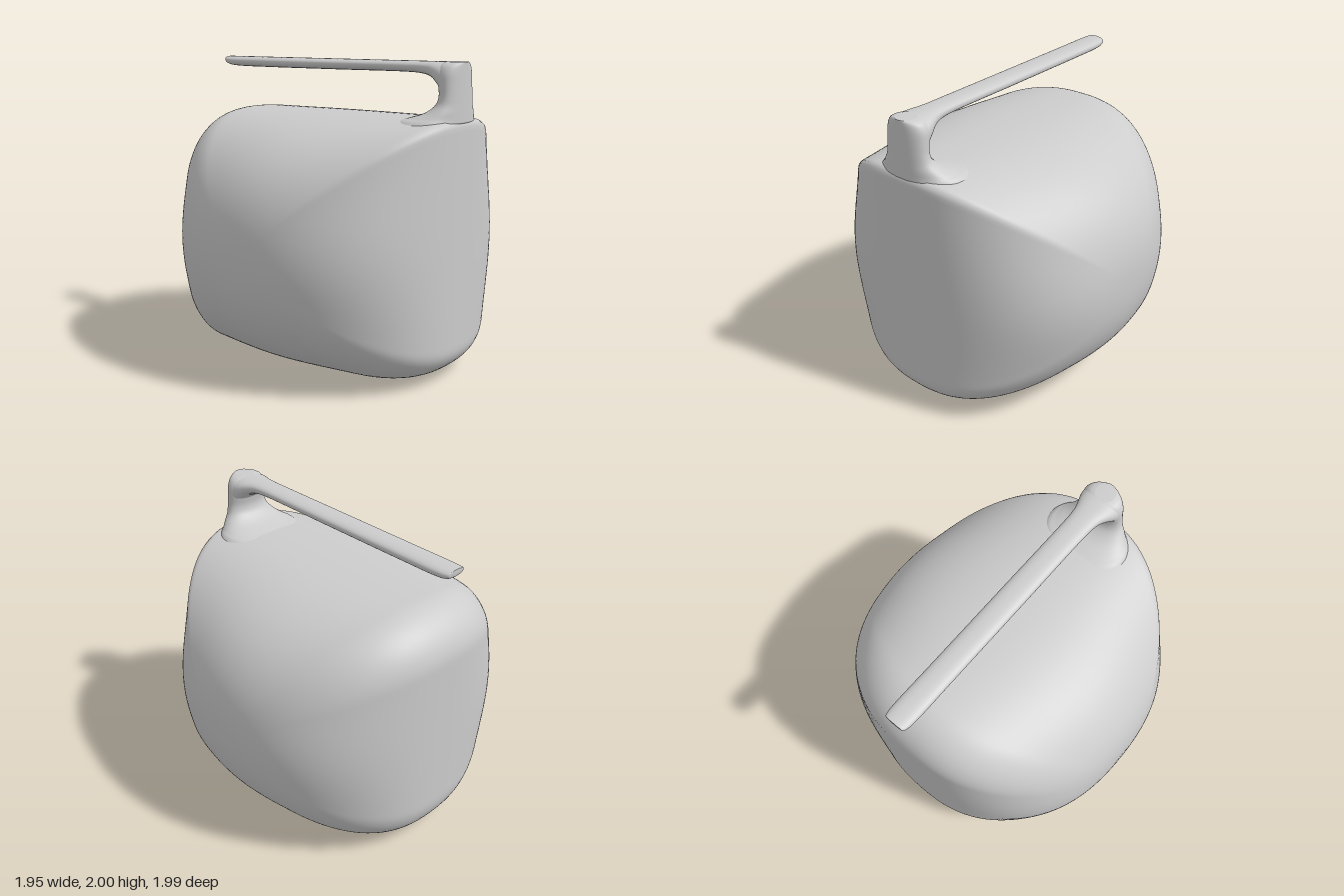
import * as THREE from 'three';

// Skin a closed surface over rings of equal length, capped at both ends.
// Rings run counter-clockwise as seen from the end they advance towards.
function loft(rings) {
  const n = rings[0].length, pos = [], idx = [];
  rings.forEach(r => r.forEach(p => pos.push(p.x, p.y, p.z)));
  for (let j = 0; j < rings.length - 1; j++) {
    for (let i = 0; i < n; i++) {
      const a = j * n + i, b = j * n + (i + 1) % n;
      idx.push(a, b, b + n, a, b + n, a + n);
    }
  }
  const cap = (ring, base, atStart) => {
    const c = ring.reduce((s, p) => s.add(p), new THREE.Vector3()).divideScalar(n);
    const k = pos.length / 3;
    pos.push(c.x, c.y, c.z);
    for (let i = 0; i < n; i++) {
      const a = base + i, b = base + (i + 1) % n;
      if (atStart) idx.push(k, b, a); else idx.push(k, a, b);
    }
  };
  cap(rings[0], 0, true);
  cap(rings[rings.length - 1], (rings.length - 1) * n, false);
  const g = new THREE.BufferGeometry();
  g.setAttribute('position', new THREE.Float32BufferAttribute(pos, 3));
  g.setIndex(idx);
  g.computeVertexNormals();
  return g;
}

// Smoothly interpolate rows of three section values
const smoothRows = (rows, count) =>
  new THREE.CatmullRomCurve3(rows.map(r => new THREE.Vector3(...r)), false, 'centripetal').getPoints(count);

// Points of a unit superellipse
function superellipse(n, power) {
  const f = v => Math.sign(v) * Math.abs(v) ** (2 / power);
  return Array.from({ length: n }, (_, i) => {
    const t = (i / n) * Math.PI * 2;
    return [f(Math.cos(t)), f(Math.sin(t))];
  });
}

// Inflated cushion: rounded-square rim, swelling to a round middle
function bodyGeometry() {
  const A = 0.975, B = 0.83, DEPTH = 0.995, STEPS = 80, POWER = 2.4, PI = Math.PI;
  const s = new THREE.Shape();
  s.moveTo(A, 0.22);
  s.lineTo(A, 1.62);
  s.absellipse(0.935, 1.62, 0.04, 0.04, 0, PI / 2, false);
  s.lineTo(-0.675, 1.66);
  s.absellipse(-0.675, 1.36, 0.3, 0.3, PI / 2, PI, false);
  s.lineTo(-A, 0.3);
  s.absellipse(-0.675, 0.3, 0.3, 0.3, PI, PI * 1.5, false);
  s.lineTo(0.6, 0);
  s.absellipse(0.6, 0.22, 0.375, 0.22, PI * 1.5, PI * 2, false);
  const rim = s.getSpacedPoints(240).slice(0, -1);

  const rings = [];
  for (let j = 1; j < STEPS; j++) {
    const th = (j / STEPS) * PI, c = Math.cos(th);
    const f = Math.sin(th) ** (2 / POWER), w = f ** 2.5;
    const z = j * 2 === STEPS ? 0 : -Math.sign(c) * DEPTH * Math.abs(c) ** (2 / POWER);
    rings.push(rim.map(p => {
      const r = Math.hypot(p.x / A, (p.y - B) / B);
      const k = f * (w + (1 - w) / r); // ellipse in the middle, full outline at the rim
      return new THREE.Vector3(p.x * k, B + (p.y - B) * k, z);
    }));
  }
  return loft(rings);
}

// Post: level sections of [height, inner edge x, half depth], outer edge upright
function postGeometry() {
  const rows = [[1.56, 0.6, 0.29], [1.62, 0.57, 0.295], [1.645, 0.58, 0.275], [1.665, 0.65, 0.243],
    [1.7, 0.755, 0.2], [1.75, 0.815, 0.16], [1.8, 0.83, 0.147], [1.87, 0.82, 0.143], [1.93, 0.81, 0.138],
    [1.97, 0.815, 0.12], [1.99, 0.825, 0.095], [2, 0.84, 0.06]];
  const ring = superellipse(48, 2.2);
  return loft(smoothRows(rows, 60).map(({ x: y, y: inner, z: w }) => {
    const outer = 0.975 - Math.max(0, 1.64 - y); // tucked in where it sinks into the body
    const c = (inner + outer) / 2, r = (outer - inner) / 2;
    return ring.map(([a, b]) => new THREE.Vector3(c + b * r, y, a * w));
  }));
}

// Handle: upright sections of [x, underside height, half depth], flat along the top
function handleGeometry() {
  const rows = [[-0.975, 1.975, 0.04], [-0.968, 1.953, 0.065], [-0.94, 1.94, 0.075], [-0.87, 1.933, 0.08],
    [-0.6, 1.93, 0.08], [0, 1.93, 0.08], [0.6, 1.93, 0.08], [0.68, 1.924, 0.083],
    [0.74, 1.912, 0.093], [0.79, 1.888, 0.112], [0.83, 1.85, 0.128], [0.88, 1.8, 0.136], [0.93, 1.8, 0.11]];
  const ring = superellipse(40, 2.4);
  return loft(smoothRows(rows, 96).map(({ x, y: low, z: w }) => {
    const c = (low + 2) / 2, r = (2 - low) / 2;
    return ring.map(([a, b]) => new THREE.Vector3(x, c + a * r, b * w));
  }));
}

export function createModel() {
  const grey = new THREE.MeshStandardMaterial({ color: 0xcccccc });
  grey.name = 'light grey';
  const model = new THREE.Group();
  model.name = 'handledCushion';
  const parts = { body: bodyGeometry(), post: postGeometry(), handle: handleGeometry() };
  for (const [name, geometry] of Object.entries(parts)) {
    const mesh = new THREE.Mesh(geometry, grey);
    mesh.name = name;
    model.add(mesh);
  }
  return model;
}
